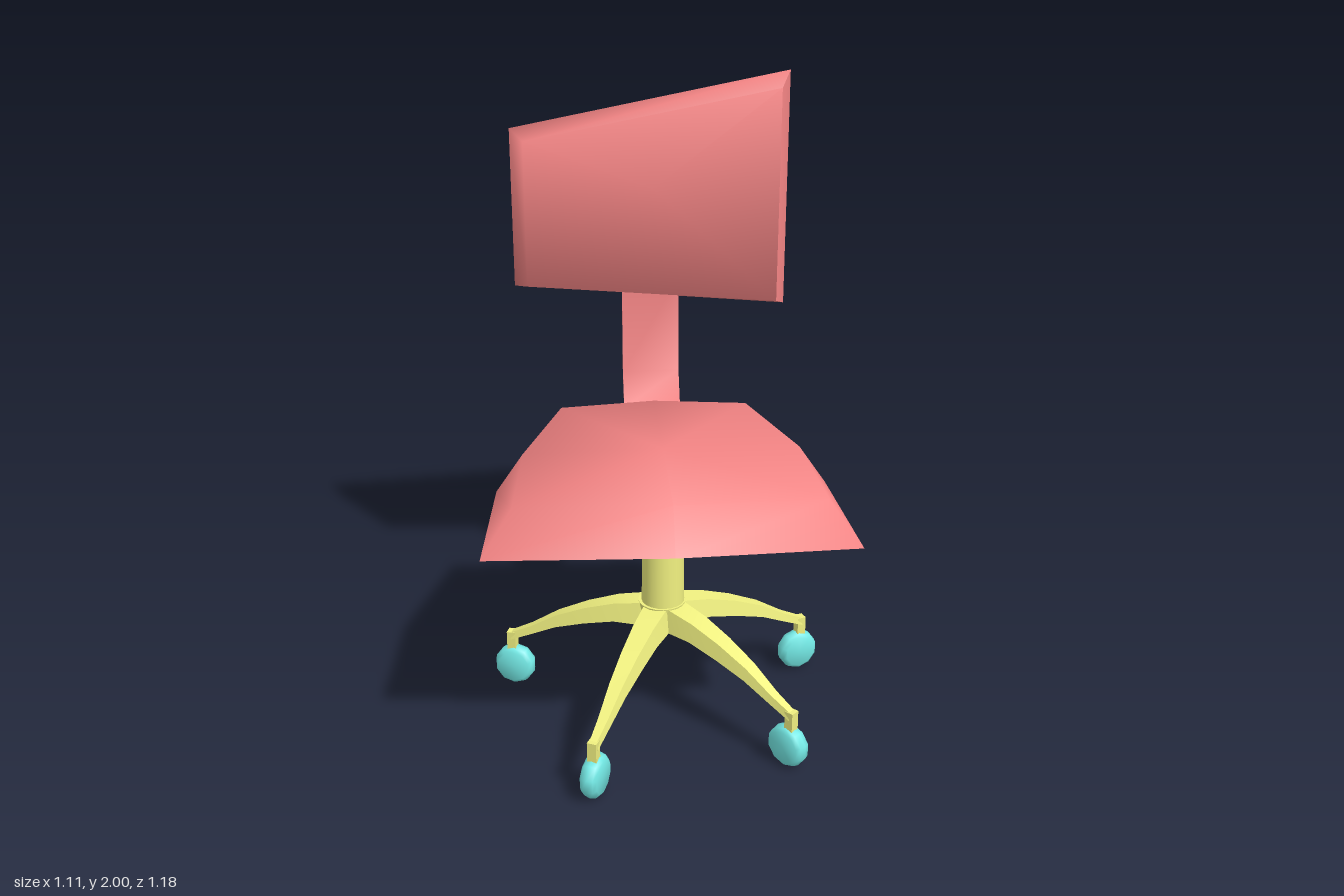
import * as THREE from 'three';
import { toCreasedNormals } from 'three/addons/utils/BufferGeometryUtils.js';

const red = new THREE.MeshStandardMaterial({ color: 0xf58585 });
const yellow = new THREE.MeshStandardMaterial({ color: 0xf0f080 });
const cyan = new THREE.MeshStandardMaterial({ color: 0x74eae6 });

// Joins rings of points (counterclockwise about the sweep) and caps both ends with fans
function loft(rings, crease) {
  const n = rings[0].length, pos = rings.flat(2), index = [];
  for (let i = 0; i < rings.length - 1; i++) {
    for (let j = 0; j < n; j++) {
      const a = i * n + j, b = i * n + (j + 1) % n;
      index.push(a, b, b + n, a, b + n, a + n);
    }
  }
  const cap = (i, flip) => {
    const ring = rings[i], c = pos.length / 3;
    for (let d = 0; d < 3; d++) pos.push((ring[0][d] + ring[n / 2][d]) / 2);
    for (let j = 0; j < n; j++) {
      const a = i * n + j, b = i * n + (j + 1) % n;
      index.push(c, flip ? b : a, flip ? a : b);
    }
  };
  cap(0, true);
  cap(rings.length - 1, false);
  const g = new THREE.BufferGeometry();
  g.setAttribute('position', new THREE.Float32BufferAttribute(pos, 3));
  g.setIndex(index);
  return toCreasedNormals(g, crease);
}

function mesh(name, geometry, material, x = 0, y = 0, z = 0) {
  const m = new THREE.Mesh(geometry, material);
  m.name = name;
  m.position.set(x, y, z);
  return m;
}

// Mirrors half an outline, given from front centre to back centre
const mirrored = (half) => [...half, ...half.slice(1, -1).reverse().map(([x, y, z]) => [-x, y, z])];

// Cushion with softly shaded bevel and a sharp lower rim
function makeSeat() {
  const bottom = mirrored([[0, 0.81, 0.547], [0.556, 0.788, 0.481], [0.524, 0.788, 0.01], [0.378, 0.788, -0.457], [0, 0.81, -0.445]]);
  const top = mirrored([[0, 0.937, 0.465], [0.463, 0.912, 0.4], [0.437, 0.914, 0.01], [0.313, 0.916, -0.372], [0, 0.937, -0.362]]);
  return mesh('seat', loft([bottom, top], 1.5), red);
}

// Lopsided back panel with a softly shaded bevel towards the front
function makeBackrest() {
  const back = [[0.465, 2, -0.58], [-0.46, 1.82, -0.587], [-0.46, 1.285, -0.587], [0.465, 1.206, -0.58]];
  const front = [[0.425, 1.957, -0.48], [-0.415, 1.795, -0.485], [-0.415, 1.31, -0.485], [0.425, 1.243, -0.48]];
  return mesh('backrest', loft([back, front], 1.5), red);
}

// Thin bent strip between seat and backrest
function makeBackSupport() {
  // front z, front y, then the offset to the rear face
  const path = [[-0.39, 0.873, 0, -0.012], [-0.468, 0.873, -0.007, -0.012], [-0.541, 0.982, -0.013, -0.004], [-0.546, 1.32, -0.012, 0]];
  const rings = path.map(([z, y, dz, dy]) => [
    [-0.096, y, z], [0.098, y, z], [0.098, y + dy, z + dz], [-0.096, y + dy, z + dz],
  ]);
  return mesh('backSupport', loft(rings, 1.1), red);
}

// Arched, tapering leg pointing along +x with its caster
function makeLeg(length) {
  const leg = new THREE.Group();
  leg.name = 'leg';
  // fraction of length, top, underside, half width
  const sections = [
    [0, 0.388, 0.31, 0.055], [0.12, 0.384, 0.31, 0.054], [0.3, 0.368, 0.308, 0.048], [0.5, 0.335, 0.283, 0.04],
    [0.7, 0.29, 0.25, 0.031], [0.88, 0.233, 0.205, 0.022], [1.02, 0.198, 0.172, 0.016],
  ];
  const rings = sections.map(([t, top, low, w]) => {
    const x = t * length;
    return [[x, top, w * 0.72], [x, low, w], [x, low, -w], [x, top, -w * 0.72]];
  });
  leg.add(mesh('legArm', loft(rings, 0.6), yellow));
  leg.add(mesh('casterStem', new THREE.BoxGeometry(0.03, 0.085, 0.03), yellow, length + 0.008, 0.157, 0));

  // Chunky wheel with rounded shoulders
  const profile = [[0, -0.028], [0.054, -0.028], [0.066, -0.019], [0.071, 0], [0.066, 0.019], [0.054, 0.028], [0, 0.028]]
    .map(([r, y]) => new THREE.Vector2(r, y));
  const wheel = mesh('casterWheel', toCreasedNormals(new THREE.LatheGeometry(profile, 10), 1.2), cyan, length, 0.074, 0);
  wheel.rotation.x = Math.PI / 2;
  leg.add(wheel);
  return leg;
}

function makeBase() {
  const base = new THREE.Group();
  base.name = 'base';
  base.position.z = 0.018;
  base.add(mesh('column', new THREE.CylinderGeometry(0.064, 0.071, 0.44, 20), yellow, 0.003, 0.56, 0));
  base.add(mesh('seatFlange', new THREE.CylinderGeometry(0.115, 0.115, 0.045, 24), yellow, 0.003, 0.788, 0));
  base.add(mesh('hub', new THREE.CylinderGeometry(0.078, 0.065, 0.075, 20), yellow, 0, 0.35, 0));
  // Caster positions as x, z
  for (const [x, z] of [[0.485, -0.175], [0.367, 0.395], [-0.24, 0.51], [-0.493, -0.15], [0.01, -0.493]]) {
    const leg = makeLeg(Math.hypot(x, z));
    leg.rotation.y = -Math.atan2(z, x);
    base.add(leg);
  }
  return base;
}

export function createModel() {
  const chair = new THREE.Group();
  chair.name = 'swivelChair';
  chair.add(makeSeat(), makeBackrest(), makeBackSupport(), makeBase());
  return chair;
}
